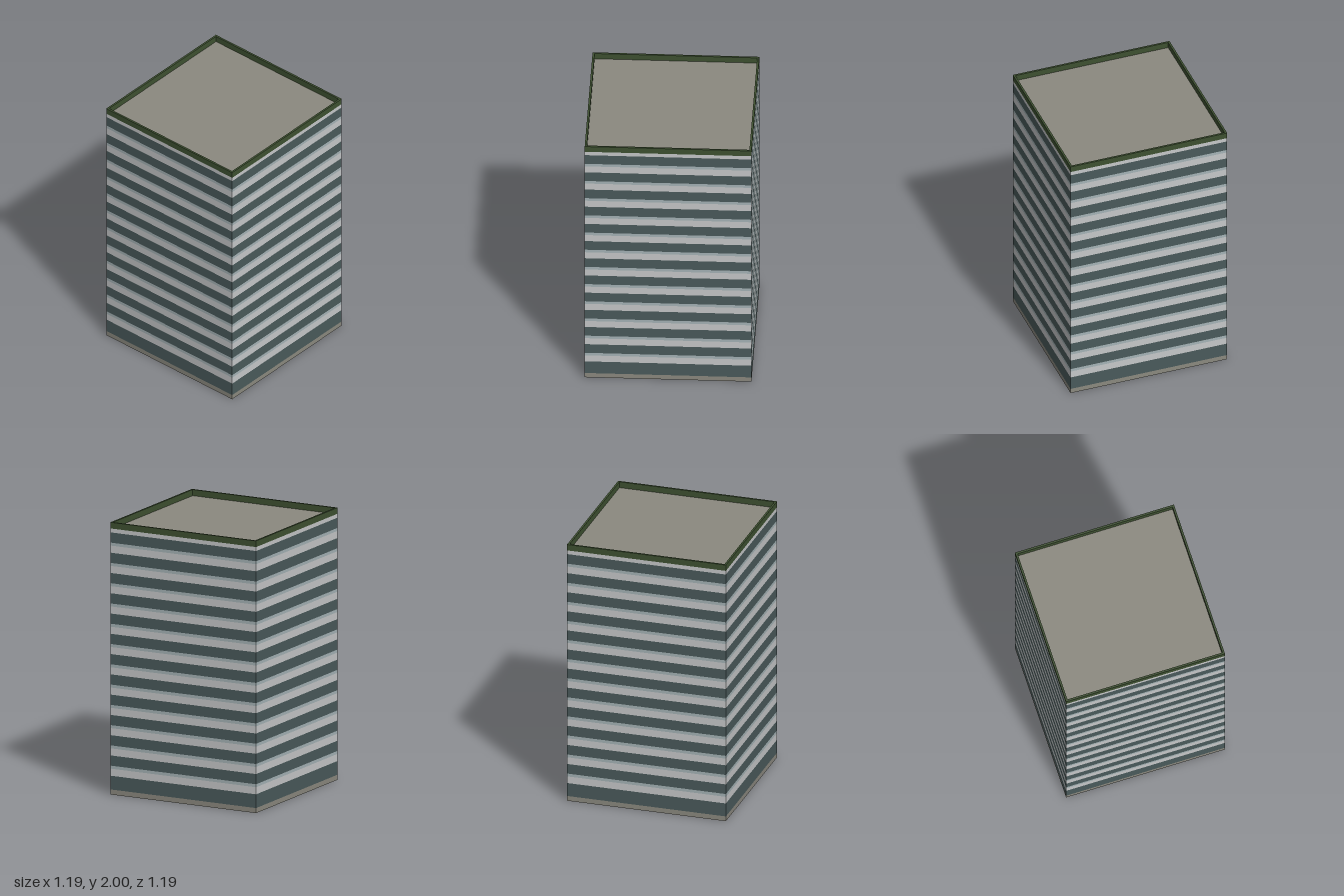
import * as THREE from 'three';
import { mergeGeometries } from 'three/addons/utils/BufferGeometryUtils.js';

const HALF = 0.597;      // half the width of the square tower
const ROOF = 1.955;      // roof deck height
const FLOORS = 12;
const PITCH = 0.149;     // floor to floor

function material(name, color, side = THREE.DoubleSide) {
  const m = new THREE.MeshStandardMaterial({ color, side });
  m.name = name;
  return m;
}

// Square open ring of wall between two heights
function wallBand(y0, y1) {
  const r = HALF * Math.SQRT2;
  const g = new THREE.CylinderGeometry(r, r, y1 - y0, 4, 1, true).toNonIndexed();
  g.rotateY(Math.PI / 4);
  g.translate(0, (y0 + y1) / 2, 0);
  g.computeVertexNormals();
  return g;
}

function square(half, PathType) {
  return new PathType([[-1, -1], [1, -1], [1, 1], [-1, 1]].map(
    ([x, y]) => new THREE.Vector2(x * half, y * half)));
}

export function createModel() {
  const group = new THREE.Group();
  const stone = material('stone grey', 0x8b897f);
  const glass = material('dark glass', 0x4a5a5b);
  const panel = material('light panel', 0xc6c8c9);
  const sill = material('pale blue trim', 0xa5b3b6);
  const green = material('parapet green', 0x3e5131, THREE.FrontSide);

  function add(name, geometry, mat) {
    const mesh = new THREE.Mesh(geometry, mat);
    mesh.name = name;
    group.add(mesh);
  }

  // Horizontal facade bands, floor by floor
  const windows = [wallBand(0.037, 0.138)];
  const spandrels = [];
  const trims = [];
  for (let i = 0; i < FLOORS; i++) {
    const y = 0.138 + i * PITCH;
    spandrels.push(wallBand(y, y + 0.052));
    trims.push(wallBand(y + 0.052, y + 0.074));
    windows.push(wallBand(y + 0.074, y + PITCH));
  }
  spandrels.push(wallBand(0.138 + FLOORS * PITCH, ROOF));

  add('baseBand', wallBand(0, 0.037), stone);
  add('windowBands', mergeGeometries(windows), glass);
  add('spandrelBands', mergeGeometries(spandrels), panel);
  add('trimBands', mergeGeometries(trims), sill);

  // Flat roof deck
  const deck = new THREE.PlaneGeometry(HALF * 2, HALF * 2);
  deck.rotateX(-Math.PI / 2);
  deck.translate(0, ROOF, 0);
  add('roofDeck', deck, stone);

  // Parapet rim around the roof
  const rim = square(HALF, THREE.Shape);
  rim.holes.push(square(HALF - 0.015, THREE.Path));
  const parapet = new THREE.ExtrudeGeometry(rim, { depth: 2 - ROOF, bevelEnabled: false });
  parapet.rotateX(-Math.PI / 2);
  parapet.translate(0, ROOF, 0);
  add('parapet', parapet, green);

  return group;
}
